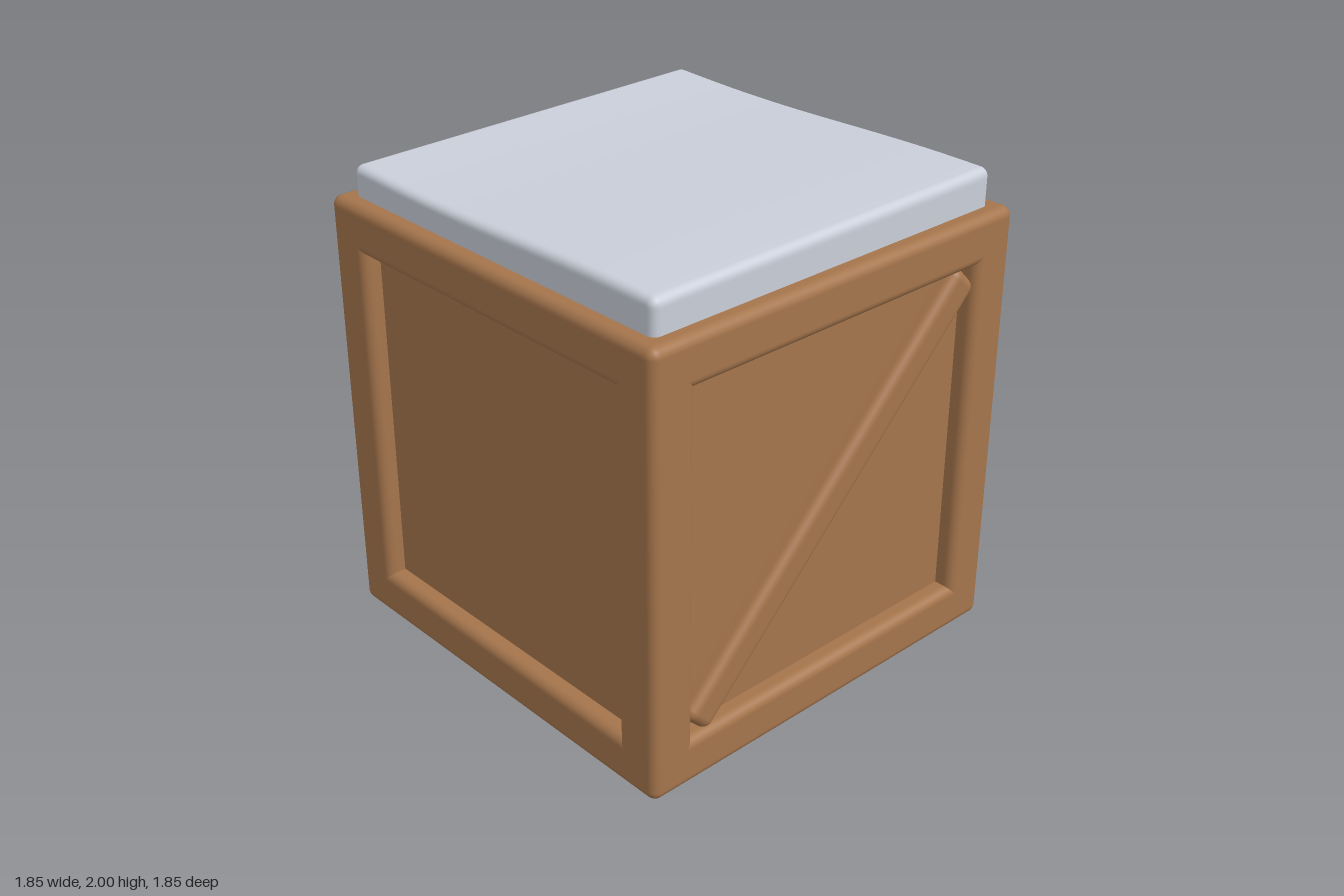
import * as THREE from 'three';
import { RoundedBoxGeometry } from 'three/addons/geometries/RoundedBoxGeometry.js';
import { mergeVertices } from 'three/addons/utils/BufferGeometryUtils.js';

const SIZE = 1.845, BEAM = 0.2, ROUND = 0.04, MID = SIZE / 2;

// Box with rounded edges and enough divisions on top to be shaped into a wavy surface
function snowGeometry(w, h, d, r) {
  const N = 24, EDGE = 4;
  const geo = new THREE.BoxGeometry(2, 2, 2, N, N, N);
  geo.deleteAttribute('uv');
  geo.deleteAttribute('normal');
  const pos = geo.attributes.position;
  // the outer divisions go to the rounding, the others spread over the flat part
  const spread = (t, half) => {
    const k = Math.abs(t) * N / 2, flat = N / 2 - EDGE;
    const v = k <= flat ? (half - r) * k / flat : half - r + r * (k - flat) / EDGE;
    return Math.sign(t) * v;
  };
  const p = new THREE.Vector3(), core = new THREE.Vector3();
  const lim = new THREE.Vector3(w / 2 - r, h / 2 - r, d / 2 - r);
  const low = lim.clone().negate();
  for (let i = 0; i < pos.count; i++) {
    p.set(spread(pos.getX(i), w / 2), spread(pos.getY(i), h / 2), spread(pos.getZ(i), d / 2));
    core.copy(p).clamp(low, lim);
    p.sub(core).normalize().multiplyScalar(r).add(core);
    // gentle drift, fading out towards the base
    const wave = 0.009 * p.x + 0.012 * Math.sin(3 * p.z - 0.4);
    p.y += wave * (p.y / h + 0.5);
    pos.setXYZ(i, p.x, p.y, p.z);
  }
  const merged = mergeVertices(geo, 1e-5);
  merged.computeVertexNormals();
  return merged;
}

export function createModel() {
  const crate = new THREE.Group();
  crate.name = 'crate';
  const wood = new THREE.MeshStandardMaterial({ color: 0xa5754c });
  wood.name = 'wood';
  const snow = new THREE.MeshStandardMaterial({ color: 0xc9ced9 });
  snow.name = 'snow';

  const add = (parent, name, geo, mat, x, y, z) => {
    const mesh = new THREE.Mesh(geo, mat);
    mesh.name = name;
    mesh.position.set(x, y, z);
    parent.add(mesh);
    return mesh;
  };

  // Recessed panels on all sides
  add(crate, 'panels', new THREE.BoxGeometry(1.69, 1.69, 1.69), wood, 0, MID, 0);

  // Twelve rounded beams along the edges
  const frame = new THREE.Group();
  frame.name = 'frame';
  crate.add(frame);
  const beam = new RoundedBoxGeometry(BEAM, SIZE, BEAM, 4, ROUND);
  const off = (SIZE - BEAM) / 2;
  for (const a of [-off, off]) {
    for (const b of [-off, off]) {
      add(frame, 'post', beam, wood, a, MID, b);
      add(frame, 'widthBeam', beam, wood, 0, MID + a, b).rotation.z = Math.PI / 2;
      add(frame, 'depthBeam', beam, wood, a, MID + b, 0).rotation.x = Math.PI / 2;
    }
  }

  // Diagonal braces on the front and the +x side
  const brace = new RoundedBoxGeometry(0.15, 1.96, 0.15, 4, ROUND);
  for (const [name, turn] of [['frontBrace', 0], ['sideBrace', Math.PI / 2]]) {
    const holder = new THREE.Group();
    holder.name = name;
    holder.rotation.y = turn;
    crate.add(holder);
    add(holder, name + 'Bar', brace, wood, 0, MID + 0.003, 0.84).rotation.z = -Math.PI / 4;
  }

  // Snow cap, its base sunk into the top frame
  add(crate, 'snowCap', snowGeometry(1.705, 0.2, 1.705, 0.035), snow, 0, 1.88, 0);

  return crate;
}
